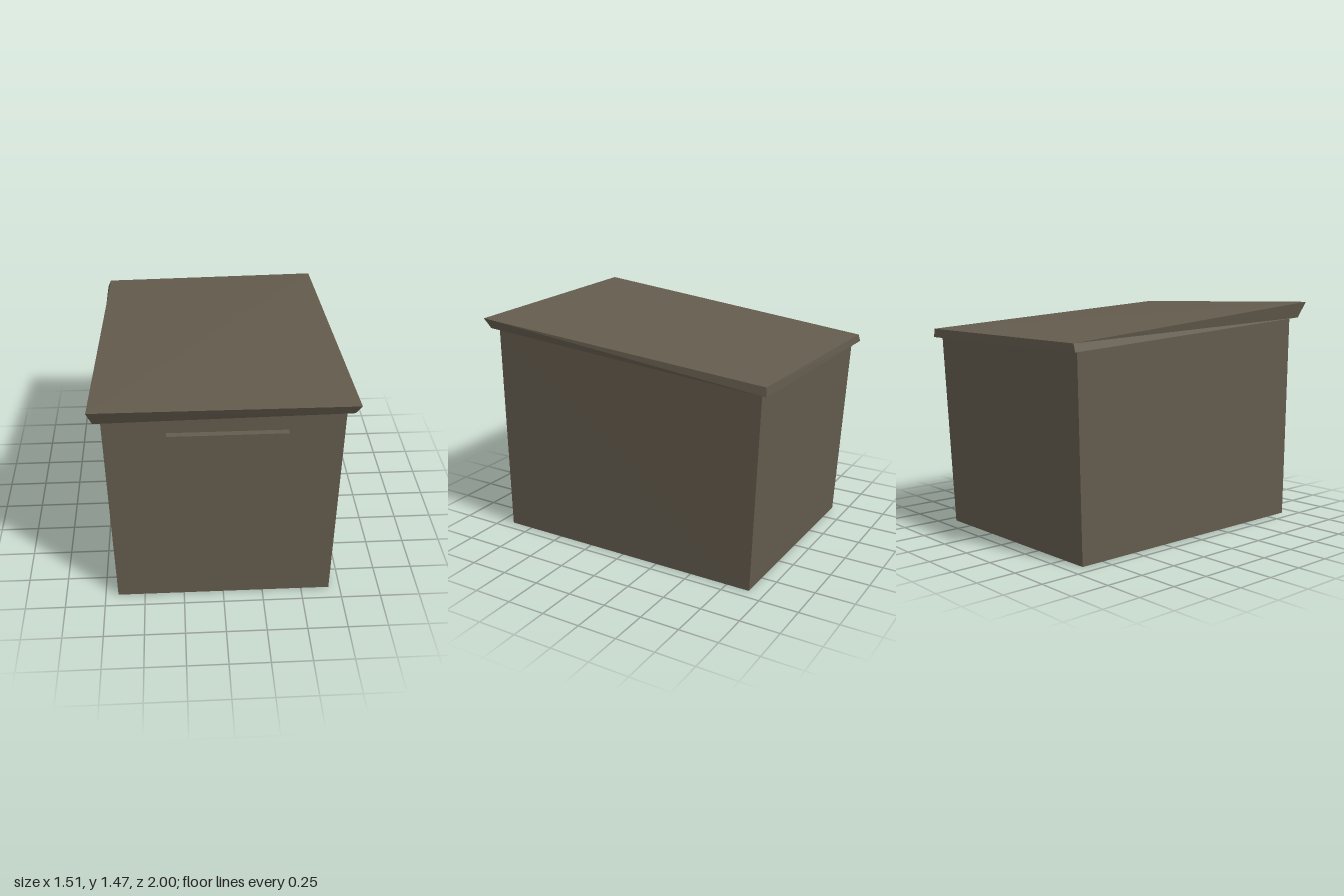
import * as THREE from 'three';

// Skin through a series of four-cornered loops, each ordered front-left,
// front-right, back-right, back-left as seen from the front.
function loft(loops, capped) {
  const positions = [];
  const quad = (a, b, c, d) => positions.push(...a, ...b, ...c, ...a, ...c, ...d);
  for (let k = 0; k + 1 < loops.length; k++) {
    const [low, high] = [loops[k], loops[k + 1]];
    for (let i = 0; i < 4; i++) {
      const j = (i + 1) % 4;
      quad(low[j], high[j], high[i], low[i]);
    }
  }
  if (capped) quad(...loops[loops.length - 1]);
  const geometry = new THREE.BufferGeometry();
  geometry.setAttribute('position', new THREE.Float32BufferAttribute(positions, 3));
  geometry.computeVertexNormals();
  return geometry;
}

export function createModel() {
  const model = new THREE.Group();
  model.name = 'shed';
  const wood = new THREE.MeshStandardMaterial({ color: 0x635b4d, side: THREE.DoubleSide });
  wood.name = 'weathered wood';
  const add = (name, geometry) => {
    const mesh = new THREE.Mesh(geometry, wood);
    mesh.name = name;
    model.add(mesh);
    return mesh;
  };

  const wallFoot = [[-0.67, 0, 0.908], [0.679, 0, 0.908], [0.679, 0, -0.902], [-0.67, 0, -0.902]];
  const wallTop = [[-0.69, 1.363, 0.908], [0.69, 1.382, 0.908], [0.7, 1.248, -0.956], [-0.7, 1.233, -0.956]];
  const eaves = [[-0.73, 1.365, 0.946], [0.727, 1.385, 0.945], [0.738, 1.245, -0.997], [-0.738, 1.23, -1]];
  const roofTop = [[-0.755, 1.47, 1], [0.755, 1.451, 0.977], [0.732, 1.3, -0.994], [-0.717, 1.278, -0.994]];

  // Walls: flare slightly towards the top, open underneath
  add('walls', loft([wallFoot, wallTop], false));

  // Floor: raised inside the walls
  const floor = add('floor', new THREE.PlaneGeometry(1.352, 1.818).rotateX(Math.PI / 2));
  floor.position.set(0.004, 0.236, -0.001);

  // Roof: eaves folding out from the walls, undercut edge boards and a crooked sloping top
  add('roof', loft([wallTop, eaves, roofTop], true));

  // Door: a plain board just in front of the wall
  const door = add('door', new THREE.BoxGeometry(0.692, 1.04, 0.036));
  door.position.set(0.019, 0.747, 0.935);

  return model;
}
